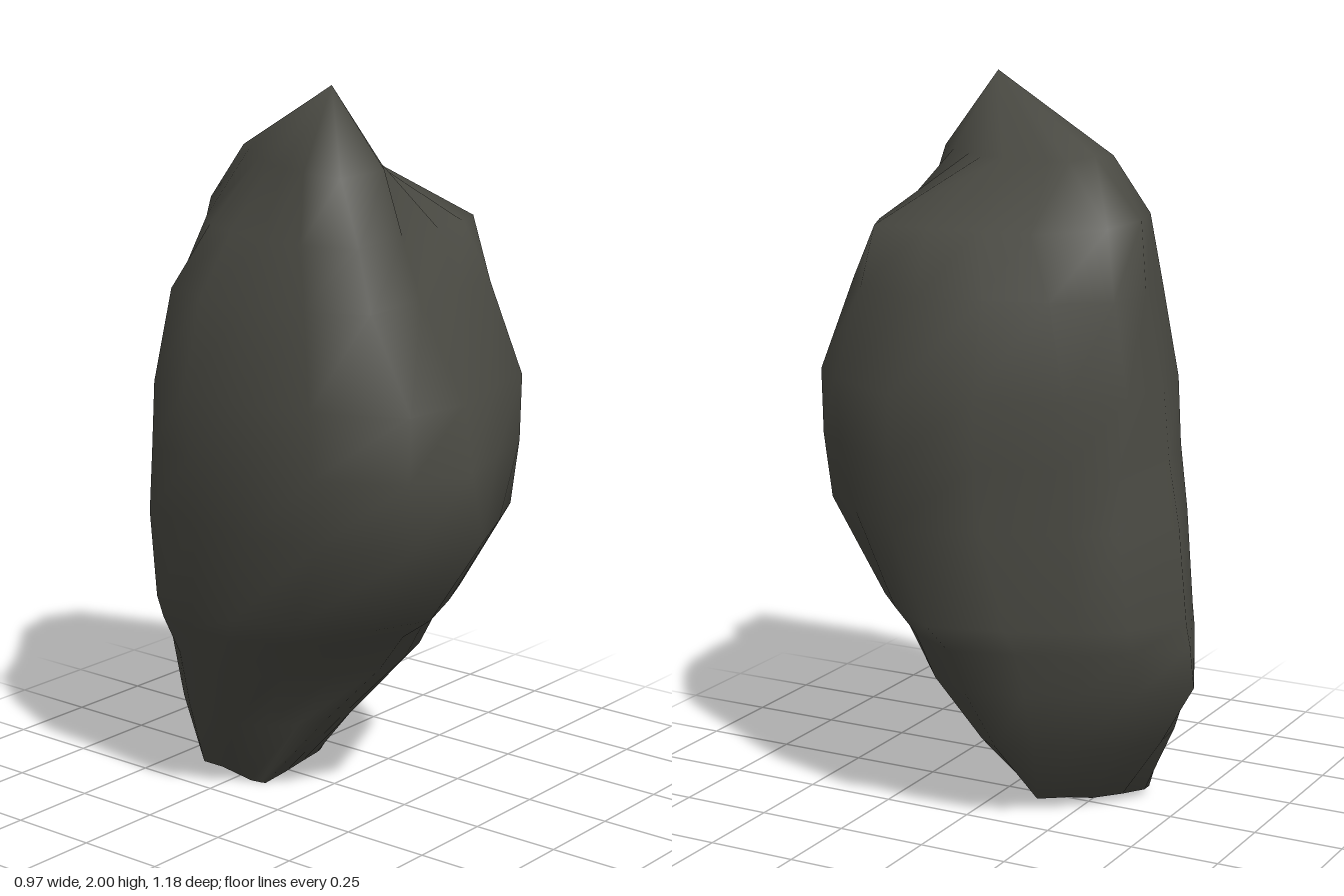
import * as THREE from 'three';

// Plan outlines (x, z, optional lift), anticlockwise seen from above, starting at the front
const foot = [
  [-0.12, -0.155], [-0.04, -0.15, 0.01], [0.04, -0.15, 0.02], [0.1, -0.148, 0.028], [0.12, -0.15, 0.03],
  [0.1, -0.18, 0.03], [0.07, -0.22, 0.03], [0.02, -0.27, 0.02], [-0.05, -0.33, 0.02], [-0.11, -0.37, 0.02],
  [-0.14, -0.37, 0.02], [-0.14, -0.35, 0.02], [-0.14, -0.3, 0.02], [-0.135, -0.25, 0.01], [-0.13, -0.2], [-0.125, -0.17],
];
const low = [
  [-0.05, 0.2], [0.08, 0.19], [0.2, 0.15], [0.3, 0.07], [0.37, -0.06], [0.33, -0.22],
  [0.27, -0.35], [0.18, -0.48], [0.06, -0.59], [-0.1, -0.52], [-0.2, -0.43],
  [-0.29, -0.32], [-0.33, -0.2], [-0.35, -0.08], [-0.26, 0.03], [-0.15, 0.13],
];
const belly = [
  [-0.13, 0.585], [0.08, 0.5], [0.255, 0.445], [0.355, 0.32], [0.485, 0.09], [0.415, -0.15],
  [0.33, -0.37], [0.26, -0.48], [0.11, -0.59], [-0.1, -0.52], [-0.28, -0.41],
  [-0.46, -0.305], [-0.47, -0.13], [-0.49, 0.07], [-0.45, 0.28], [-0.34, 0.51],
];
const waist = [
  [-0.13, 0.535], [0.08, 0.48], [0.255, 0.445], [0.34, 0.35], [0.485, 0.1], [0.43, -0.12],
  [0.345, -0.34], [0.24, -0.47], [0.08, -0.5], [-0.1, -0.46], [-0.26, -0.38],
  [-0.43, -0.27], [-0.47, -0.13], [-0.49, 0.08], [-0.45, 0.28], [-0.34, 0.52],
];
const shoulder = [
  [-0.13, 0.39], [0.06, 0.37], [0.22, 0.36], [0.33, 0.27], [0.42, 0.05], [0.38, -0.12],
  [0.33, -0.29], [0.24, -0.43], [0.1, -0.455], [-0.08, -0.42], [-0.24, -0.34],
  [-0.39, -0.24], [-0.43, -0.1], [-0.46, 0.07], [-0.42, 0.24], [-0.35, 0.4],
];
const crown = [
  [-0.13, 0.33], [0.04, 0.32], [0.18, 0.3], [0.29, 0.25], [0.28, 0.1], [0.27, -0.05],
  [0.26, -0.2], [0.2, -0.39, 0.02], [0.08, -0.43, 0.03], [-0.06, -0.39, 0.03], [-0.18, -0.3],
  [-0.28, -0.2], [-0.33, -0.08], [-0.37, 0.06], [-0.385, 0.2], [-0.33, 0.345],
];
const ridge = [
  [-0.13, 0.27], [-0.05, 0.2], [0, 0.12], [0.06, 0.05], [0.08, -0.02], [0.1, -0.1],
  [0.1, -0.17], [0.1, -0.23], [0.05, -0.28, 0.015], [-0.03, -0.295, 0.01], [-0.09, -0.22, 0.015],
  [-0.16, -0.13], [-0.22, -0.04], [-0.27, 0.05], [-0.3, 0.14], [-0.31, 0.27],
];
const outlines = [foot, low, belly, waist, shoulder, crown, ridge];

// Rings: y, outline blend, xMin, xMax, zMin, zMax
const levels = [
  [0, 0, -0.14, 0.12, -0.37, -0.148],
  [0.21, 0.5, -0.25, 0.29, -0.48, 0.02],
  [0.4, 1, -0.35, 0.37, -0.59, 0.2],
  [0.52, 1.4, -0.395, 0.41, -0.587, 0.3],
  [0.59, 1.65, -0.42, 0.45, -0.585, 0.4],
  [0.85, 2, -0.47, 0.48, -0.565, 0.59],
  [1.03, 2.5, -0.485, 0.485, -0.525, 0.56],
  [1.21, 3, -0.49, 0.485, -0.5, 0.535],
  [1.46, 4, -0.46, 0.42, -0.455, 0.4],
  [1.62, 5, -0.385, 0.29, -0.43, 0.345],
  [1.79, 6, -0.31, 0.1, -0.295, 0.27],
];

// Hollows: x, y, z, radius, depth
const dents = [
  [0.32, 0.72, 0.36, 0.22, 0.06],
  [-0.4, 1.03, 0.45, 0.1, 0.025],
];

function ring([y, blend, x0, x1, z0, z1]) {
  const below = outlines[Math.floor(blend)], above = outlines[Math.ceil(blend)], t = blend % 1;
  const points = below.map(([x, z, lift = 0], i) => {
    const [hx, hz, hLift = 0] = above[i];
    return new THREE.Vector3(x, lift, z).lerp(new THREE.Vector3(hx, hLift, hz), t);
  });
  // Fit the blended outline to the bounds, then press in the hollows
  const { min, max } = new THREE.Box3().setFromPoints(points);
  const cx = (x0 + x1) / 2, cz = (z0 + z1) / 2;
  for (const p of points) {
    p.set(THREE.MathUtils.mapLinear(p.x, min.x, max.x, x0, x1), y + p.y,
      THREE.MathUtils.mapLinear(p.z, min.z, max.z, z0, z1));
    for (const [dx, dy, dz, r, depth] of dents) {
      const d2 = (p.x - dx) ** 2 + (p.y - dy) ** 2 + (p.z - dz) ** 2;
      const k = 1 - (depth * Math.exp(-d2 / (r * r))) / Math.hypot(p.x - cx, p.z - cz);
      p.x = cx + (p.x - cx) * k;
      p.z = cz + (p.z - cz) * k;
    }
  }
  return points;
}

function boulderGeometry() {
  const n = belly.length, points = levels.flatMap(ring), index = [];
  const base = points.push(new THREE.Vector3(-0.06, 0.015, -0.23)) - 1;
  const peak = points.push(new THREE.Vector3(-0.16, 2, 0.12)) - 1;
  const top = (levels.length - 1) * n;
  for (let i = 0; i < n; i++) {
    const j = (i + 1) % n;
    for (let r = 0; r < top; r += n) {
      const a = r + i, b = r + j;
      index.push(a, b, b + n, a, b + n, a + n);
    }
    index.push(j, i, base, top + i, top + j, peak);
  }
  const geometry = new THREE.BufferGeometry().setFromPoints(points);
  geometry.setIndex(index);
  geometry.computeVertexNormals();
  return geometry;
}

export function createModel() {
  const stone = new THREE.MeshStandardMaterial({ color: 0x4a4a43 });
  stone.name = 'darkStone';
  const boulder = new THREE.Mesh(boulderGeometry(), stone);
  boulder.name = 'boulder';
  const group = new THREE.Group();
  group.name = 'rock';
  group.add(boulder);
  return group;
}
